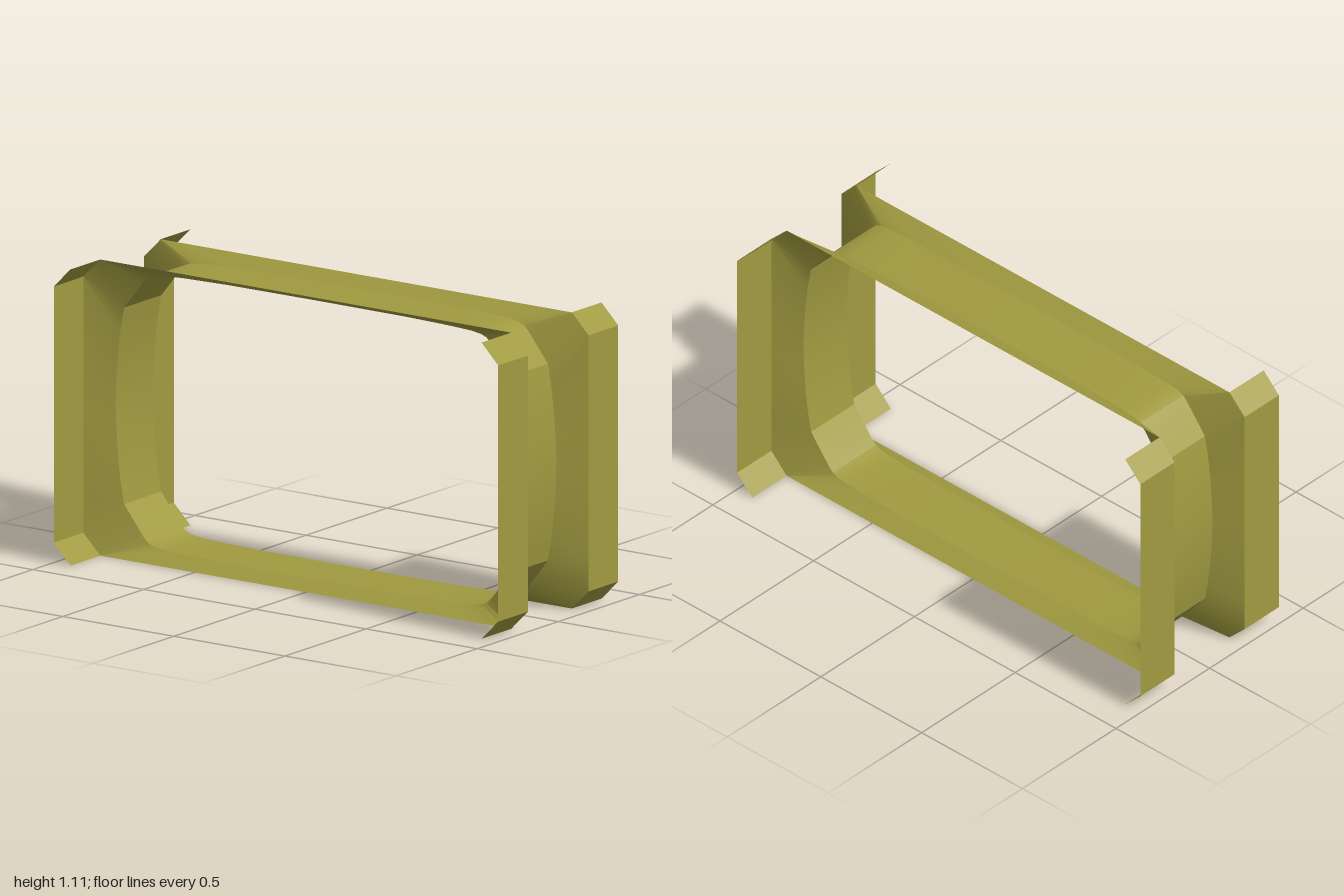
import * as THREE from 'three';
import { toCreasedNormals } from 'three/addons/utils/BufferGeometryUtils.js';

const MID = 0.555; // height of the horizontal symmetry plane

// One quarter of the frame outline, from the side middle to the top middle:
// [outer x, outer y, inner x, inner y], y measured from MID
const QUARTER = [
  [1, 0, 0.908, 0], [1, 0.12, 0.904, 0.1], [1, 0.24, 0.897, 0.19], [1, 0.36, 0.886, 0.28],
  [1, 0.48, 0.87, 0.368],
  [0.938, 0.542, 0.785, 0.475], [0.925, 0.555, 0.762, 0.498],
  [0.9, 0.555, 0.735, 0.508], [0.86, 0.555, 0.69, 0.514], [0.75, 0.555, 0.6, 0.518],
  [0.5, 0.555, 0.4, 0.522], [0, 0.555, 0, 0.523],
];
const CHAMFER_END = 6;

// Mirror the quarter into a full closed loop, counter-clockwise from +x
function fullLoop() {
  const flip = (sx, sy) => ([a, b, c, d]) => [sx * a, sy * b, sx * c, sy * d];
  const q = QUARTER;
  const back = [...q].reverse();
  return [
    ...q,
    ...back.slice(1).map(flip(-1, 1)),
    ...q.slice(1).map(flip(-1, -1)),
    ...back.slice(1).map(flip(1, -1)),
  ];
}

// Skin between rows of points
function loft(rows) {
  const pos = [];
  for (let r = 0; r < rows.length - 1; r++) {
    for (let i = 0; i < rows[r].length - 1; i++) {
      const a = rows[r][i], b = rows[r][i + 1], c = rows[r + 1][i + 1], d = rows[r + 1][i];
      pos.push(...a, ...b, ...c, ...a, ...c, ...d);
    }
  }
  const geo = new THREE.BufferGeometry();
  geo.setAttribute('position', new THREE.Float32BufferAttribute(pos, 3));
  return toCreasedNormals(geo, 0.38);
}

export function createModel() {
  const group = new THREE.Group();
  const material = new THREE.MeshStandardMaterial({ color: 0xa09a40, side: THREE.DoubleSide });
  const add = (name, geo) => {
    const mesh = new THREE.Mesh(geo, material);
    mesh.name = name;
    group.add(mesh);
  };
  const outer = (p, z) => [p[0], p[1] + MID, z];
  const inner = (p, z) => [p[2], p[3] + MID, z];

  // Grooved frame: flared rims either side of a recessed web
  const loop = fullLoop();
  add('groovedFrame', loft([
    loop.map((p) => outer(p, 0.187)),
    loop.map((p) => inner(p, 0.115)),
    loop.map((p) => inner(p, -0.115)),
    loop.map((p) => outer(p, -0.187)),
  ]));

  // Upright flanges with chamfered ends, front and back of each side
  for (const sx of [1, -1]) {
    const side = [[0.925, -0.555], [1, -0.48], [1, 0.48], QUARTER[CHAMFER_END]]
      .map(([x, y]) => [x * sx, y * sx]);
    for (const sz of [1, -1]) {
      const [z0, z1] = sz > 0 ? [0.37, 0.187] : [-0.187, -0.37];
      add(`${sx > 0 ? 'left' : 'right'}${sz > 0 ? 'Front' : 'Back'}Flange`,
        loft([side.map((p) => outer(p, z0)), side.map((p) => outer(p, z1))]));
    }
  }
  return group;
}
